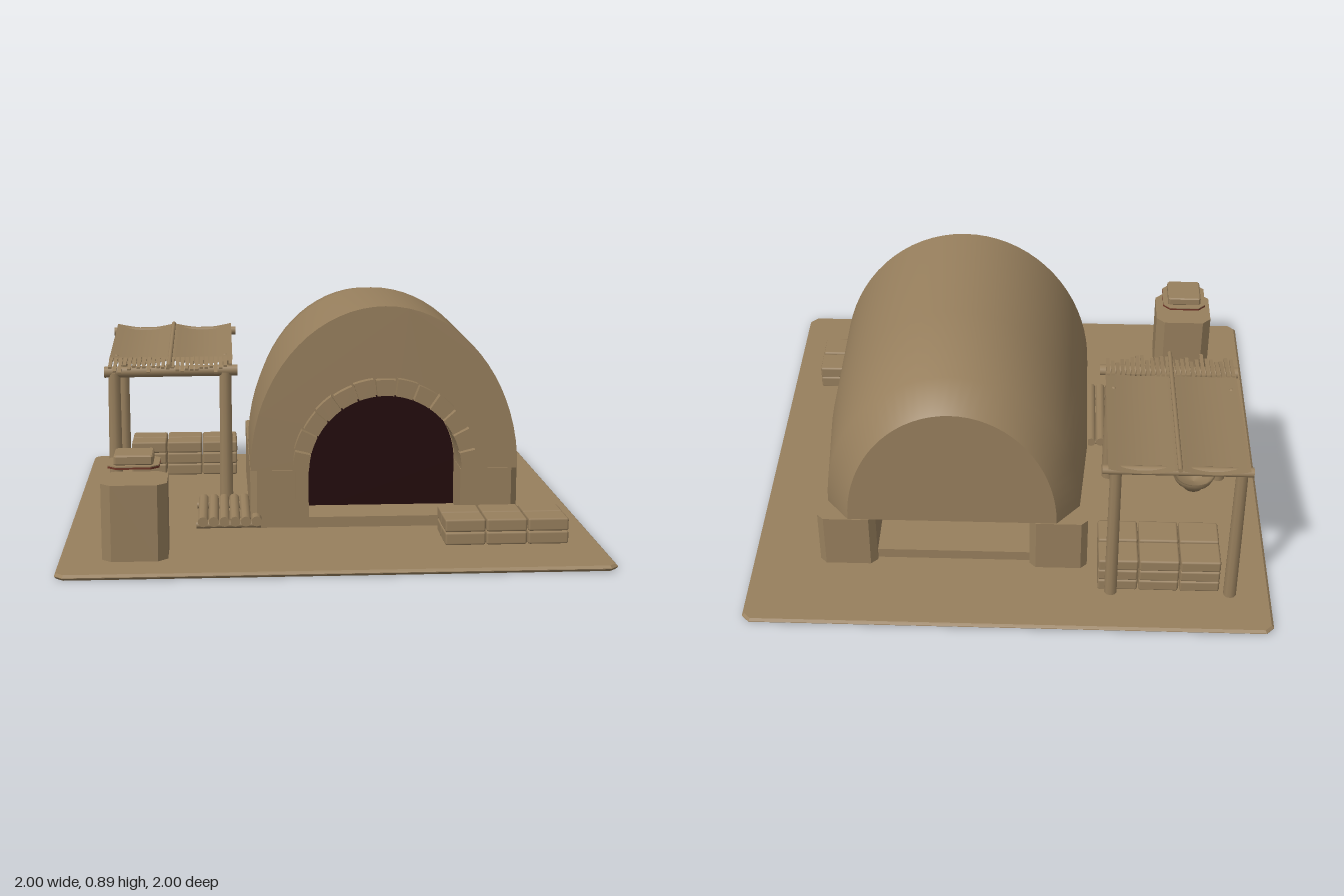
import * as THREE from 'three';
import { RoundedBoxGeometry } from 'three/addons/geometries/RoundedBoxGeometry.js';

export function createModel() {
  const model = new THREE.Group();
  const clay = new THREE.MeshStandardMaterial({ color: 0x977f5d });
  const cloth = new THREE.MeshStandardMaterial({ color: 0x937c5b, side: THREE.DoubleSide });
  const dark = new THREE.MeshStandardMaterial({ color: 0x220a0b, side: THREE.DoubleSide });
  const red = new THREE.MeshStandardMaterial({ color: 0x6e3627 });
  clay.name = 'clay'; cloth.name = 'cloth'; dark.name = 'kiln interior'; red.name = 'red clay';

  let seed = 7;
  const rand = () => (seed = (seed * 16807) % 2147483647) / 2147483647;

  function add(name, geo, mat, x = 0, y = 0, z = 0, parent = model) {
    const m = new THREE.Mesh(geo, mat);
    m.name = name;
    m.position.set(x, y, z);
    parent.add(m);
    return m;
  }
  function group(name) {
    const g = new THREE.Group();
    g.name = name;
    model.add(g);
    return g;
  }
  // Upright block with cut corners, standing on its base
  function slab(w, h, d, cut, bevel = 0) {
    const a = w / 2, b = d / 2;
    const s = new THREE.Shape([
      [a - cut, -b], [a, -b + cut], [a, b - cut], [a - cut, b],
      [-a + cut, b], [-a, b - cut], [-a, -b + cut], [-a + cut, -b],
    ].map(p => new THREE.Vector2(...p)));
    const geo = new THREE.ExtrudeGeometry(s, {
      depth: h - 2 * bevel, bevelEnabled: bevel > 0, bevelSize: bevel,
      bevelThickness: bevel, bevelOffset: -bevel, bevelSegments: 1,
    });
    return geo.translate(0, 0, bevel).rotateX(-Math.PI / 2);
  }
  // Round pole between two points
  function pole(name, from, to, r, parent, r2 = r) {
    const a = new THREE.Vector3(...from), b = new THREE.Vector3(...to);
    const m = add(name, new THREE.CylinderGeometry(r2, r, a.distanceTo(b), 10), clay, 0, 0, 0, parent);
    m.position.copy(a).add(b).multiplyScalar(0.5);
    m.quaternion.setFromUnitVectors(new THREE.Vector3(0, 1, 0), b.sub(a).normalize());
  }

  // Ground
  add('ground', slab(2, 0.02, 2, 0.03, 0.009), clay);

  // Kiln vault, lofted from arched sections: z, half width, height above the spring line
  const KX = 0.22, SPRING = 0.245, R = 0.295, N = 36;
  const kiln = group('kiln');
  const sections = [[0.38, 0.519, 0.635], [-0.2, 0.517, 0.645], [-0.57, 0.488, 0.605], [-0.675, 0.4, 0.51]];
  const arch = (w, h) => Array.from({ length: N + 1 }, (_, i) => {
    const t = (i / N) * Math.PI;
    return new THREE.Vector2(Math.cos(t) * w, Math.sin(t) * h);
  });
  const pos = [], idx = [];
  sections.forEach(([z, w, h], r) => {
    for (const v of arch(w, h)) pos.push(v.x, v.y, z);
    if (r === 0) return;
    for (let i = 0; i < N; i++) {
      const b = r * (N + 1) + i, a = b - N - 1;
      idx.push(a, b, a + 1, b, b + 1, a + 1);
    }
  });
  const vault = new THREE.BufferGeometry();
  vault.setAttribute('position', new THREE.Float32BufferAttribute(pos, 3));
  vault.setIndex(idx);
  vault.computeVertexNormals();
  add('vault', vault, clay, KX, SPRING, 0, kiln);

  // End walls: a horseshoe at the front, a full arch at the back
  const horseshoe = new THREE.Shape([...arch(0.519, 0.635), ...arch(R, R).reverse()]);
  add('frontWall', new THREE.ShapeGeometry(horseshoe), clay, KX, SPRING, 0.38, kiln);
  const backArch = new THREE.Shape(arch(0.4, 0.51));
  add('backWall', new THREE.ShapeGeometry(backArch).rotateY(Math.PI), clay, KX, SPRING, -0.675, kiln);

  // Mouth: reveal, dark opening and floor
  add('mouthReveal', new THREE.CylinderGeometry(R + 0.002, R + 0.002, 0.18, 24, 1, true, Math.PI / 2, Math.PI)
    .rotateX(Math.PI / 2), cloth, KX, SPRING, 0.29, kiln);
  const mouth = new THREE.Shape();
  mouth.moveTo(-R, 0.03 - SPRING);
  mouth.lineTo(R, 0.03 - SPRING);
  mouth.lineTo(R, 0);
  mouth.absarc(0, 0, R, 0, Math.PI, false);
  add('darkMouth', new THREE.ShapeGeometry(mouth, 24), dark, KX, SPRING, 0.2, kiln);
  add('kilnFloor', new THREE.BoxGeometry(0.6, 0.042, 1.03), clay, KX, 0.04, -0.125, kiln);

  // Low side walls and door jambs
  for (const s of [-1, 1]) {
    add('sideWall', slab(0.224, 0.227, 1.064, 0.025), clay, KX + s * 0.408, 0.018, -0.147, kiln);
    add('doorJamb', new THREE.BoxGeometry(0.05, 0.225, 0.04), clay, KX + s * 0.32, 0.132, 0.372, kiln);
  }

  // Arch bricks around the mouth
  const BRICKS = 13;
  for (let i = 0; i < BRICKS; i++) {
    const gap = 0.012, step = Math.PI / BRICKS;
    const s = new THREE.Shape();
    const outer = R + 0.062 + (i % 2) * 0.005;
    s.absarc(0, 0, outer, i * step + gap, (i + 1) * step - gap, false);
    s.absarc(0, 0, R, (i + 1) * step - gap, i * step + gap, true);
    add('archBrick', new THREE.ExtrudeGeometry(s, { depth: 0.045, bevelEnabled: false, curveSegments: 3 }),
      clay, KX, SPRING, 0.375, kiln);
  }

  // Brick stacks
  function stack(x0, z0, layers) {
    const g = group('brickStack');
    for (let l = 0; l < layers; l++)
      for (let c = 0; c < 3; c++)
        for (let r = 0; r < 2; r++) {
          const m = add('brick', new RoundedBoxGeometry(0.152, 0.049, 0.114, 1, 0.008), clay,
            x0 + 0.077 + c * 0.156, 0.045 + l * 0.05, z0 + 0.057 + r * 0.119, g);
          m.rotation.y = (rand() - 0.5) * 0.03;
        }
  }
  stack(0.415, 0.46, 2);
  stack(-0.805, -0.795, 3);

  // Pedestal with lidded top
  const pedestal = group('pedestal');
  const PX = -0.725, PZ = 0.72;
  add('pedestalBlock', slab(0.238, 0.282, 0.23, 0.035), clay, PX, 0.018, PZ, pedestal);
  add('lidRim', slab(0.185, 0.007, 0.185, 0.03), red, PX, 0.353, PZ, pedestal);
  add('lidRimTop', slab(0.184, 0.004, 0.184, 0.03), clay, PX, 0.36, PZ, pedestal);
  add('lidBlock', slab(0.142, 0.036, 0.142, 0.008, 0.005), clay, PX, 0.363, PZ, pedestal);

  // Pole rack on the ground
  const rack = group('poleRack');
  for (let i = 0; i < 6; i++) {
    const x = -0.483 + i * 0.041;
    pole('rackPole', [x, 0.06, 0.05 + rand() * 0.01], [x, 0.06, 0.44], 0.02, rack);
  }
  for (const z of [0.085, 0.4]) pole('rackCrossbar', [-0.51, 0.04, z], [-0.26, 0.04, z], 0.014, rack);

  // Bowl
  const bowl = [[0, 0], [0.04, 0], [0.046, 0.012], [0.075, 0.04], [0.088, 0.068], [0.08, 0.068], [0.06, 0.04], [0, 0.024]];
  add('bowl', new THREE.LatheGeometry(bowl.map(p => new THREE.Vector2(...p)), 20), cloth, -0.74, 0.02, -0.17);

  // Canopy: posts and beams
  const canopy = group('canopy');
  for (const x of [-0.845, -0.39]) {
    pole('frontPost', [x, 0.018, -0.11], [x, 0.555, -0.11], 0.029, canopy, 0.025);
    pole('backPost', [x, 0.018, -0.8], [x, 0.64, -0.8], 0.025, canopy, 0.022);
    add('clothPeg', new THREE.SphereGeometry(0.011, 8, 6), clay, x, 0.595, -0.28, canopy);
  }
  pole('frontBeam', [-0.885, 0.558, -0.11], [-0.34, 0.562, -0.11], 0.023, canopy);
  pole('backBeam', [-0.885, 0.632, -0.81], [-0.34, 0.632, -0.81], 0.018, canopy);

  // Canopy cloth: two panels sagging between the ridges, falling to the front
  const X0 = -0.87, X1 = -0.36, Z0 = -0.845, Z1 = -0.17;
  const roofY = z => 0.662 - 0.065 * (z - Z0) / (Z1 - Z0);
  const sheet = new THREE.PlaneGeometry(X1 - X0, Z1 - Z0, 24, 8).rotateX(-Math.PI / 2)
    .translate((X0 + X1) / 2, 0, (Z0 + Z1) / 2);
  const p = sheet.attributes.position;
  for (let i = 0; i < p.count; i++) {
    const u = (p.getX(i) - X0) / (X1 - X0);
    p.setY(i, roofY(p.getZ(i)) - 0.018 * Math.abs(Math.sin(u * 2 * Math.PI)));
  }
  sheet.computeVertexNormals();
  add('clothRoof', sheet, cloth, 0, 0, 0, canopy);
  pole('ridgeRod', [-0.618, roofY(Z0), Z0], [-0.618, roofY(Z1) - 0.005, -0.03], 0.009, canopy);

  // Ragged fringe lying over the front beam
  const STRIPS = 26;
  for (let i = 0; i < STRIPS; i++) {
    const len = 0.11 + rand() * 0.06;
    const geo = new THREE.BoxGeometry(0.014, 0.008, len).translate(0, 0, len / 2);
    const m = add('fringeStrip', geo, clay, X0 + 0.01 + i * (X1 - X0 - 0.02) / (STRIPS - 1), 0.602, -0.195, canopy);
    m.rotation.x = 0.08 + rand() * 0.2;
  }
  return model;
}
